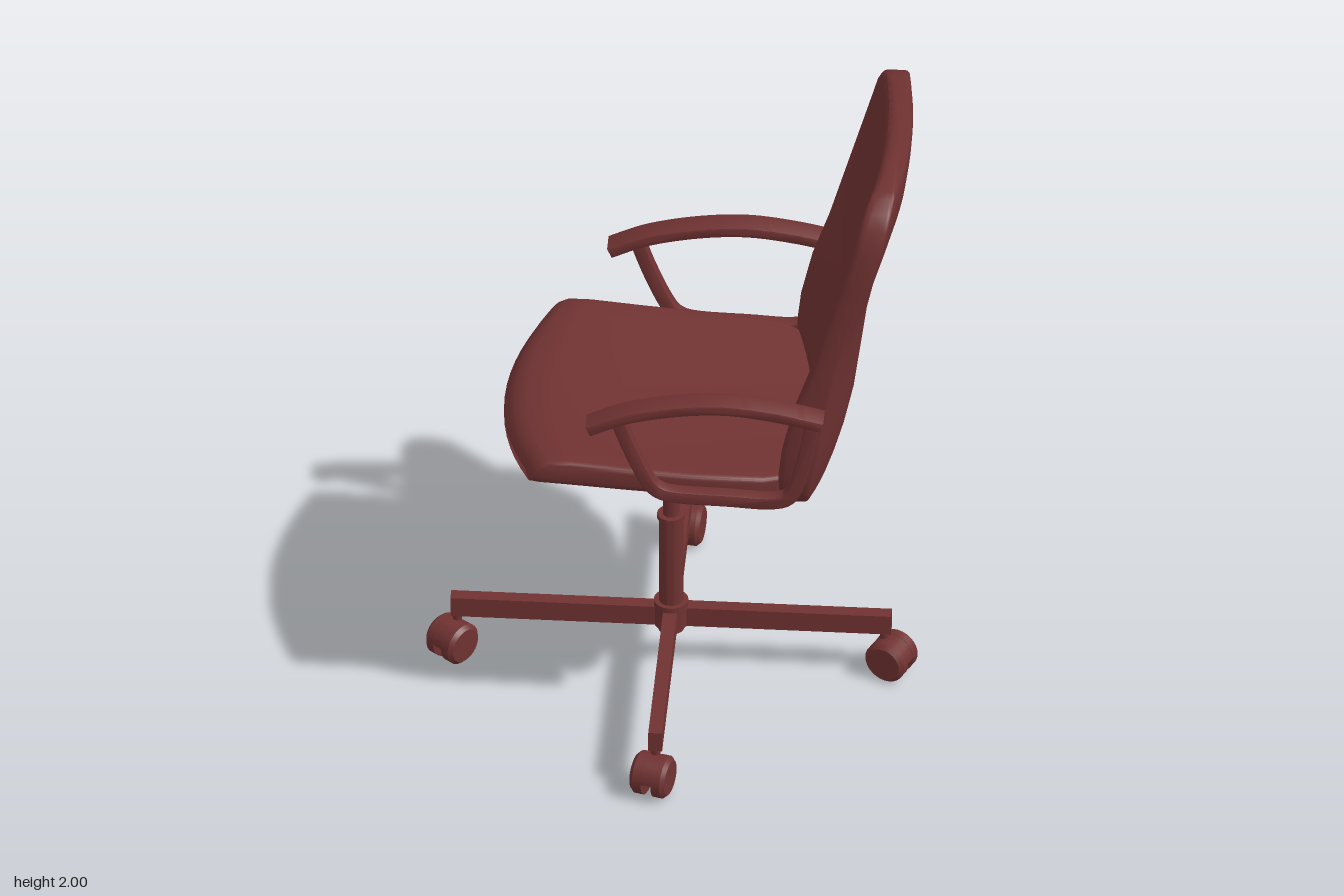
import * as THREE from 'three';
import { toCreasedNormals } from 'three/addons/utils/BufferGeometryUtils.js';

const upholstery = new THREE.MeshStandardMaterial({ color: 0x703232 });
upholstery.name = 'dark red';

function add(parent, name, geometry, x = 0, y = 0, z = 0) {
  const mesh = new THREE.Mesh(geometry, upholstery);
  mesh.name = name;
  mesh.position.set(x, y, z);
  parent.add(mesh);
  return mesh;
}

// Cushion lofted through rounded sections; each row is [station, low, high, halfWidth]
function cushion(rows, lowRadius, highRadius, place) {
  const pos = [], index = [], flat = 14, arc = 4;
  let n = 0;
  rows.forEach(([a, lo, hi, h]) => {
    const ring = [], fit = Math.min(1, (hi - lo) / (lowRadius + highRadius));
    const bl = lowRadius * fit, bh = highRadius * fit;
    const corner = (u, t, b, start) => {
      for (let k = 1; k <= arc; k++) {
        const q = start + (k / arc) * Math.PI / 2;
        ring.push([u + b * Math.cos(q), t + b * Math.sin(q)]);
      }
    };
    for (let k = 0; k <= flat; k++) ring.push([(h - bl) * (2 * k / flat - 1), lo]);
    corner(h - bl, lo + bl, bl, -Math.PI / 2);
    ring.push([h, hi - bh]);
    corner(h - bh, hi - bh, bh, 0);
    for (let k = 1; k <= flat; k++) ring.push([(h - bh) * (1 - 2 * k / flat), hi]);
    corner(-h + bh, hi - bh, bh, Math.PI / 2);
    ring.push([-h, lo + bl]);
    corner(-h + bl, lo + bl, bl, Math.PI);
    n = ring.length;
    ring.forEach(([u, t]) => pos.push(...place(u, t, a)));
  });
  const last = (rows.length - 1) * n;
  for (let r = 0; r < rows.length - 1; r++) {
    for (let i = 0; i < n; i++) {
      const j = (i + 1) % n, p = r * n, q = p + n;
      index.push(p + i, p + j, q + i, p + j, q + j, q + i);
    }
  }
  // End caps
  [rows[0], rows[rows.length - 1]].forEach(([a, lo, hi], e) => {
    const c = pos.length / 3;
    pos.push(...place(0, (lo + hi) / 2, a));
    for (let i = 0; i < n; i++) {
      const j = (i + 1) % n;
      if (e) index.push(c, last + i, last + j);
      else index.push(c, j, i);
    }
  });
  const g = new THREE.BufferGeometry();
  g.setAttribute('position', new THREE.Float32BufferAttribute(pos, 3));
  g.setIndex(index);
  return toCreasedNormals(g, 0.7);
}

// Strip of constant thickness along a side-view path of [z, y], given a width in x
function strip(points, thickness, width) {
  const curve = new THREE.SplineCurve(points.map(p => new THREE.Vector2(...p)));
  const upper = [], lower = [], steps = 40;
  for (let i = 0; i <= steps; i++) {
    const p = curve.getPoint(i / steps), t = curve.getTangent(i / steps);
    const nrm = new THREE.Vector2(-t.y, t.x).multiplyScalar(thickness / 2);
    upper.push(p.clone().add(nrm));
    lower.unshift(p.clone().sub(nrm));
  }
  const g = new THREE.ExtrudeGeometry(new THREE.Shape([...upper, ...lower]), {
    depth: width - 0.012, bevelEnabled: true, bevelSize: 0.006, bevelThickness: 0.006, bevelSegments: 2,
  });
  g.translate(0, 0, -(width - 0.012) / 2).rotateY(-Math.PI / 2);
  return toCreasedNormals(g, 0.6);
}

// Round bar between two points
function bar(parent, name, a, b, r0, r1 = r0) {
  const A = new THREE.Vector3(...a), B = new THREE.Vector3(...b), d = B.clone().sub(A);
  const mesh = add(parent, name, new THREE.CylinderGeometry(r1, r0, d.length(), 20));
  mesh.position.copy(A).add(B).multiplyScalar(0.5);
  mesh.quaternion.setFromUnitVectors(new THREE.Vector3(0, 1, 0), d.normalize());
}

// Twin-wheel caster with a hood filling the upper half between the wheels
function caster() {
  const g = new THREE.Group();
  g.name = 'caster';
  add(g, 'casterStem', new THREE.CylinderGeometry(0.014, 0.014, 0.06, 16), 0, 0.135, 0);
  const r = 0.066, wheel = [[0, -0.02], [r, -0.02], [r, 0.008], [r - 0.012, 0.02], [0, 0.02]]
    .map(p => new THREE.Vector2(...p));
  for (const s of [-1, 1]) {
    const geo = toCreasedNormals(new THREE.LatheGeometry(wheel, 28), 0.5);
    add(g, 'casterWheel', geo, s * 0.036, r, 0.023).rotation.z = -s * Math.PI / 2;
  }
  const half = new THREE.Shape();
  half.absarc(0, 0, r - 0.001, 0, Math.PI);
  const hood = new THREE.ExtrudeGeometry(half, { depth: 0.036, bevelEnabled: false, curveSegments: 16 });
  hood.translate(0, 0, -0.018).rotateY(Math.PI / 2);
  add(g, 'casterHood', toCreasedNormals(hood, 0.5), 0, r, 0.023);
  return g;
}

export function createModel() {
  const model = new THREE.Group();
  model.name = 'officeChair';
  const chair = new THREE.Group();
  const turn = Math.PI + 0.611;
  chair.name = 'turnedChair';
  chair.position.set(-0.051, 0, -0.098);
  chair.rotation.y = turn;
  model.add(chair);

  // Four-armed base with casters swivelled at different headings
  const base = new THREE.Group();
  base.name = 'base';
  chair.add(base);
  const headings = [[-1, -0.08], [-0.95, 0.32], [0.2, 1], [-0.9, 0.45]];
  headings.forEach(([hx, hz], i) => {
    const angle = i * Math.PI / 2;
    const arm = add(base, 'baseArm', new THREE.BoxGeometry(0.042, 0.066, 0.665));
    arm.position.set(Math.sin(angle) * 0.3325, 0.184, Math.cos(angle) * 0.3325);
    arm.rotation.y = angle;
    const c = caster();
    c.position.set(Math.sin(angle) * 0.645, 0, Math.cos(angle) * 0.645);
    c.rotation.y = Math.atan2(hx, hz) - turn;
    base.add(c);
  });

  // Hub, gas column and top collar
  const profile = [[0, 0.13], [0.04, 0.13], [0.04, 0.15], [0.052, 0.15], [0.052, 0.235], [0.037, 0.235], [0.037, 0.54],
    [0.042, 0.54], [0.042, 0.555], [0.025, 0.555], [0.025, 0.76], [0.04, 0.76], [0.04, 0.785], [0.047, 0.785],
    [0.047, 0.89], [0, 0.89]].map(p => new THREE.Vector2(...p));
  add(chair, 'column', toCreasedNormals(new THREE.LatheGeometry(profile, 32), 0.5));

  // Tilt mechanism, tension knob and height lever
  const mount = new THREE.CylinderGeometry(0.19, 0.11, 0.06, 4).rotateY(Math.PI / 4);
  add(chair, 'tiltMechanism', toCreasedNormals(mount, 0.5), 0, 0.897, 0.02);
  bar(chair, 'knobRod', [0, 0.885, 0.08], [0, 0.858, 0.19], 0.018);
  bar(chair, 'tensionKnob', [0, 0.862, 0.17], [0, 0.846, 0.24], 0.035, 0.041);
  const leverPath = new THREE.CatmullRomCurve3([[-0.06, 0.885, 0.05], [-0.25, 0.862, 0.03], [-0.34, 0.822, -0.05], [-0.4, 0.79, -0.12]]
    .map(p => new THREE.Vector3(...p)));
  add(chair, 'lever', new THREE.TubeGeometry(leverPath, 20, 0.008, 10));
  const tip = add(chair, 'leverHandle', new THREE.SphereGeometry(1, 16, 12), -0.42, 0.776, -0.165);
  tip.scale.set(0.02, 0.015, 0.055);
  tip.rotation.set(-0.25, 0.3, 0);

  const body = new THREE.Group();
  body.name = 'upperChair';
  body.position.x = -0.006;
  chair.add(body);
  const bulge = u => 1 - (u / 0.43) ** 2;

  // Seat with a bowed, drooping front edge and a dished top
  add(body, 'seat', cushion([
    [-0.38, 0.875, 0.985, 0.36], [-0.3, 0.893, 0.995, 0.41], [-0.1, 0.915, 1.003, 0.426], [0.1, 0.927, 1.015, 0.428],
    [0.27, 0.938, 1.03, 0.428], [0.335, 0.942, 1.03, 0.428], [0.364, 0.944, 1.015, 0.428], [0.38, 0.946, 0.995, 0.426],
    [0.39, 0.95, 0.975, 0.42],
  ], 0.03, 0.018, (u, t, a) => {
    const top = THREE.MathUtils.clamp((t - 0.94) / 0.05, 0, 1);
    const dish = 0.04 * top * THREE.MathUtils.clamp((0.4 - a) / 0.7, 0, 1);
    const droop = 0.015 * THREE.MathUtils.smoothstep(a, 0.2, 0.4);
    return [u, t - bulge(u) * (dish + droop), a + bulge(u) * (0.015 + 0.25 * a)];
  }));

  // Backrest curving around the sitter, listed from the top down
  add(body, 'backrest', cushion([
    [2.0, -0.67, -0.62, 0.3], [1.992, -0.676, -0.605, 0.332], [1.965, -0.678, -0.594, 0.373], [1.92, -0.674, -0.585, 0.404],
    [1.85, -0.662, -0.572, 0.424], [1.72, -0.621, -0.534, 0.424], [1.55, -0.563, -0.483, 0.422], [1.4, -0.522, -0.438, 0.42],
    [1.25, -0.495, -0.385, 0.418], [1.1, -0.472, -0.35, 0.418], [1.0, -0.45, -0.338, 0.416], [0.93, -0.43, -0.335, 0.402],
    [0.885, -0.415, -0.33, 0.372], [0.86, -0.402, -0.33, 0.33], [0.85, -0.387, -0.34, 0.28],
  ], 0.012, 0.028, (u, t, a) => [u, a, t - bulge(u) * (0.085 - 0.038 * THREE.MathUtils.smoothstep(a, 1.1, 2))]));

  // Armrests: arched pad over a bent loop frame
  const pad = [[0.212, 1.2], [0.1, 1.25], [-0.05, 1.285], [-0.2, 1.297], [-0.35, 1.28], [-0.485, 1.25]];
  const frame = [[0.13, 1.225], [0.097, 1.13], [0.05, 1.02], [0.012, 0.967], [-0.05, 0.948], [-0.2, 0.943],
    [-0.34, 0.94], [-0.4, 0.975], [-0.435, 1.1], [-0.46, 1.245]];
  for (const s of [-1, 1]) {
    add(body, 'armPad', strip(pad, 0.022, 0.078), s * 0.457);
    add(body, 'armFrame', strip(frame, 0.03, 0.045), s * 0.446);
  }
  return model;
}
